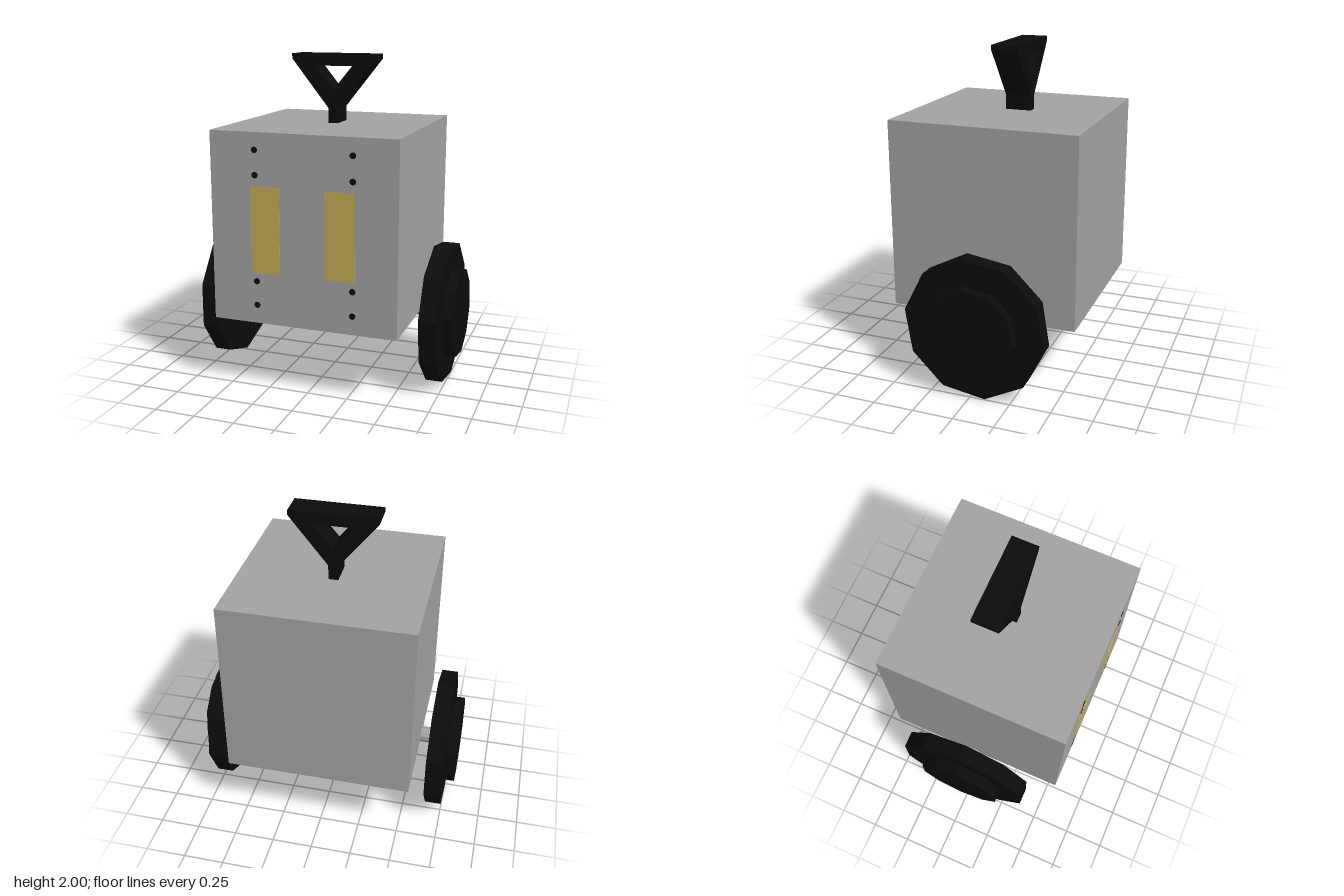
import * as THREE from 'three';

const grey = new THREE.MeshStandardMaterial({ color: 0xa4a4a4 });
grey.name = 'bodyGrey';
const black = new THREE.MeshStandardMaterial({ color: 0x0c0c0c });
black.name = 'black';
const yellow = new THREE.MeshStandardMaterial({ color: 0xc8ae55 });
yellow.name = 'panelYellow';

const AXLE_Y = 0.437, AXLE_Z = -0.025, FRONT_Z = 0.565;

function add(parent, name, geometry, material, x = 0, y = 0, z = 0) {
  const mesh = new THREE.Mesh(geometry, material);
  mesh.name = name;
  mesh.position.set(x, y, z);
  parent.add(mesh);
  return mesh;
}

// Ten-sided disc lying along x, turned so that a corner sits "turn" radians from the top
function disc(radius, width, turn = 0) {
  return new THREE.CylinderGeometry(radius, radius, width, 10, 1, false, Math.PI / 2 - turn)
    .toNonIndexed().rotateZ(Math.PI / 2);
}

function flat(geometry) {
  geometry.computeVertexNormals();
  return geometry;
}

export function createModel() {
  const model = new THREE.Group();
  model.name = 'wheeledBox';

  // Box body
  add(model, 'body', new THREE.BoxGeometry(1.14, 1.145, 1.145), grey, 0, 1.0125, -0.0075);

  // Axle and two stepped wheels
  add(model, 'axle', flat(disc(0.05, 1.32)), grey, 0, 0.44, -0.027);
  for (const [side, name, turn] of [[1, 'leftWheel', 0.159], [-1, 'rightWheel', 0]]) {
    const wheel = new THREE.Group();
    wheel.name = name;
    wheel.position.set(0, AXLE_Y, AXLE_Z);
    add(wheel, 'tyre', flat(disc(0.435, 0.103, turn)), black, side * 0.7015);
    add(wheel, 'hub', flat(disc(0.273, 0.067, turn)), black, side * 0.785);
    model.add(wheel);
  }

  // Triangular grip with its stem
  const outline = [[-0.03, 1.58], [0.03, 1.58], [0.03, 1.675], [0.265, 1.97],
    [0.265, 2], [-0.265, 2], [-0.265, 1.97], [-0.03, 1.675]];
  const grip = new THREE.Shape(outline.map(([x, y]) => new THREE.Vector2(x, y)));
  const opening = [[0, 1.785], [-0.12, 1.93], [0.12, 1.93]];
  grip.holes.push(new THREE.Path(opening.map(([x, y]) => new THREE.Vector2(x, y))));
  add(model, 'handle', new THREE.ExtrudeGeometry(grip, { depth: 0.16, bevelEnabled: false }),
    black, 0, 0, -0.118);

  // Front panels, each with four round studs
  const plate = new THREE.BoxGeometry(0.178, 0.516, 0.006);
  const stud = new THREE.CylinderGeometry(0.019, 0.019, 0.006, 10).rotateX(Math.PI / 2);
  for (const [plateX, studX] of [[-0.228, -0.289], [0.227, 0.305]]) {
    add(model, 'frontPanel', plate, yellow, plateX, 1.01, FRONT_Z);
    for (const y of [1.483, 1.337, 0.7, 0.553]) {
      add(model, 'stud', stud, black, studX, y, FRONT_Z);
    }
  }
  return model;
}
